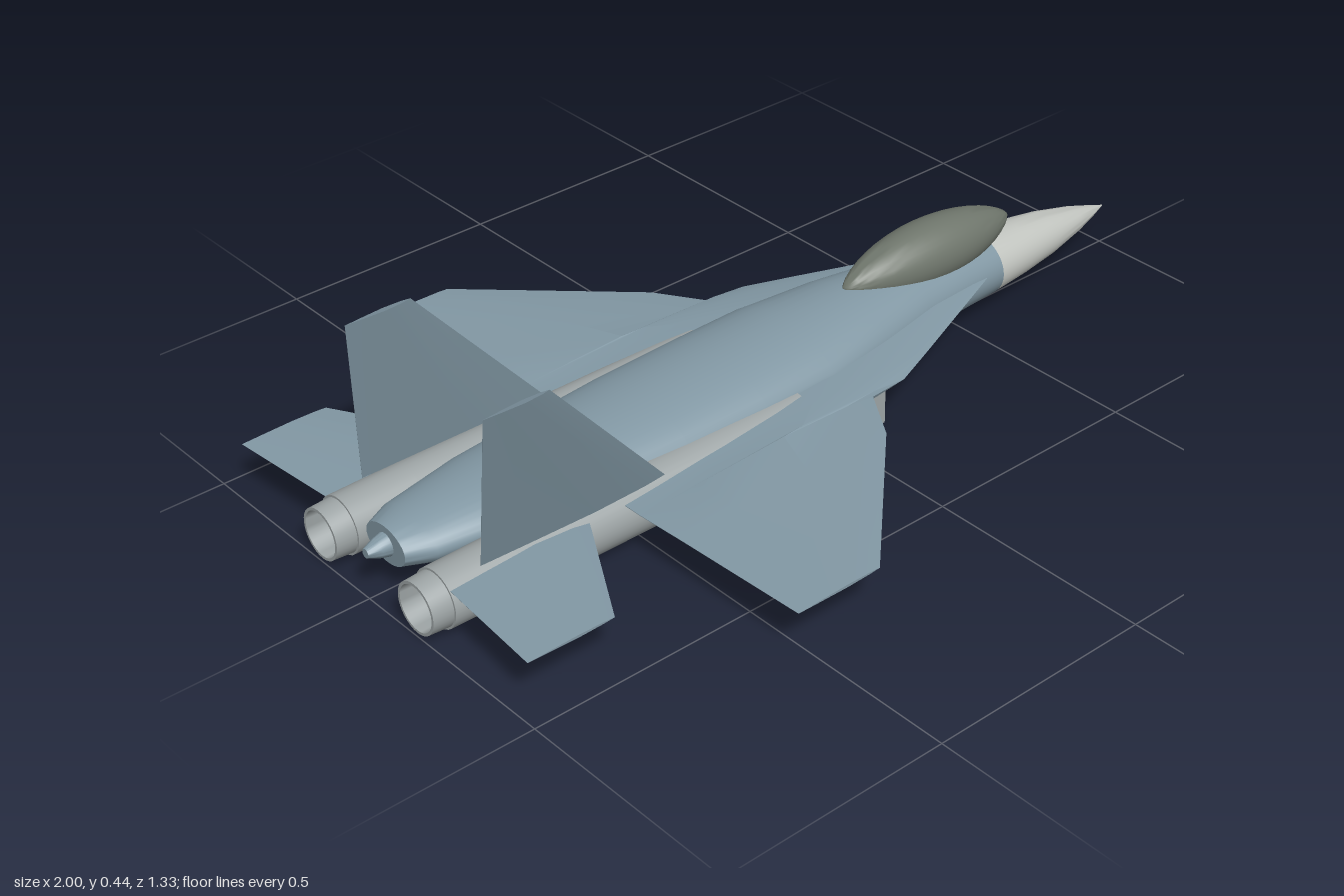
import * as THREE from 'three';
import { toCreasedNormals } from 'three/addons/utils/BufferGeometryUtils.js';

const mat = (color, side = THREE.FrontSide) => new THREE.MeshStandardMaterial({ color, side });
const skin = mat(0x8298a4);
const finSkin = mat(0x728691);
const metal = mat(0x9ea5a6, THREE.DoubleSide);
const radome = mat(0xc2c5c0);
const glass = mat(0x6f766c);
const dark = mat(0x2b2f31, THREE.DoubleSide);

// Closed loft through rings of [x, y, z] points, turned outward by its signed volume
function loft(rings, crease = 0.6) {
  const n = rings[0].length;
  const pts = rings.flat().map((p) => new THREE.Vector3(...p));
  const tris = [];
  for (let i = 0; i < rings.length - 1; i++) {
    for (let j = 0; j < n; j++) {
      const k = (j + 1) % n;
      const a = i * n + j, b = i * n + k, c = a + n, d = b + n;
      tris.push([a, b, d], [a, d, c]);
    }
  }
  const last = (rings.length - 1) * n;
  for (let j = 1; j < n - 1; j++) tris.push([0, j + 1, j], [last, last + j, last + j + 1]);
  let volume = 0;
  const cross = new THREE.Vector3();
  for (const [a, b, c] of tris) volume += pts[a].dot(cross.crossVectors(pts[b], pts[c]));
  if (volume < 0) tris.forEach((t) => t.reverse());
  const geo = new THREE.BufferGeometry().setFromPoints(pts);
  geo.setIndex(tris.flat());
  return toCreasedNormals(geo, crease);
}

// Elliptical cross-sections along x: [x, centre y, half height, half width]
const ovalBody = (stations, sides = 36) => loft(stations.map(([x, y, h, w]) =>
  Array.from({ length: sides }, (_, j) => {
    const a = (j / sides) * Math.PI * 2;
    return [x, y + h * Math.sin(a), w * Math.cos(a)];
  })));

// Thin aerofoil section: chord fraction from the leading edge, share of half thickness
const foil = [[0, 0], [0.12, 0.6], [0.4, 1], [0.75, 0.5], [1, 0.04],
  [1, -0.04], [0.75, -0.5], [0.4, -1], [0.12, -0.6]];

// Lifting surface from stations [span, leading x, trailing x, half thickness]
const surface = (stations, place) => loft(stations.map(([s, lead, trail, t]) =>
  foil.map(([f, k]) => place(lead + (trail - lead) * f, s, k * t))), 0.35);

export function createModel() {
  const model = new THREE.Group();
  model.name = 'jetAircraft';
  const add = (name, geometry, material, parent = model) => {
    const mesh = new THREE.Mesh(geometry, material);
    mesh.name = name;
    parent.add(mesh);
    return mesh;
  };

  // Fuselage, nose and tail
  add('fuselage', ovalBody([
    [-0.955, 0.11, 0.04, 0.062], [-0.9, 0.11, 0.047, 0.09], [-0.72, 0.112, 0.055, 0.126],
    [-0.55, 0.112, 0.062, 0.142], [-0.35, 0.113, 0.068, 0.158], [-0.15, 0.112, 0.076, 0.164],
    [0.03, 0.112, 0.082, 0.164], [0.2, 0.114, 0.084, 0.137], [0.36, 0.113, 0.081, 0.105],
    [0.5, 0.11, 0.076, 0.087], [0.6, 0.108, 0.07, 0.08],
  ]), skin);
  add('noseCone', ovalBody([
    [0.6, 0.108, 0.07, 0.08], [0.7, 0.106, 0.062, 0.069], [0.8, 0.104, 0.05, 0.054],
    [0.9, 0.102, 0.03, 0.032], [0.96, 0.1, 0.014, 0.014], [1, 0.1, 0.001, 0.001],
  ]), radome);
  add('tailSting', ovalBody([
    [-1, 0.11, 0.01, 0.01], [-0.975, 0.11, 0.02, 0.02], [-0.95, 0.11, 0.026, 0.026],
  ], 20), skin);

  // Canopy
  const bubble = [];
  for (let i = 0; i <= 20; i++) {
    const u = -Math.cos((i / 20) * Math.PI);
    const r = 0.001 + 0.07 * Math.pow(Math.max(0, 1 - u * u), 0.72);
    bubble.push([0.4425 + 0.2425 * u, 0.196, r, r]);
  }
  add('canopy', ovalBody(bubble), glass);

  for (const side of [1, -1]) {
    const name = side > 0 ? 'left' : 'right';

    // Wing with its long root extension
    add(name + 'Wing', surface([
      [0.05, 0.62, -0.55, 0.021], [0.085, 0.54, -0.55, 0.02], [0.2, 0.255, -0.55, 0.016],
      [0.245, 0.14, -0.549, 0.0145], [0.249, 0.05, -0.549, 0.0145],
      [0.36, -0.02, -0.543, 0.011], [0.665, -0.33, -0.53, 0.003],
    ], (x, s, t) => [x, 0.118 + 0.012 * x + t, side * s]), skin);

    // Horizontal tail
    add(name + 'Tailplane', surface([
      [0.12, -0.59, -0.945, 0.008], [0.22, -0.645, -0.955, 0.007], [0.455, -0.78, -0.975, 0.003],
    ], (x, s, t) => [x, 0.112 + t, side * s]), skin);

    // Vertical fin, canted outward
    add(name + 'Fin', surface([
      [0.125, -0.44, -0.876, 0.008], [0.45, -0.72, -0.868, 0.006],
    ], (x, s, t) => [x, s, side * (0.189 + (s - 0.14) * 0.075 + t)]), finSkin);

    // Engine nacelle with a hollow nozzle
    const engine = new THREE.Group();
    engine.name = name + 'Engine';
    engine.position.set(0, 0.071, side * 0.153);
    model.add(engine);
    const lathe = (profile) => new THREE.LatheGeometry(
      profile.map(([r, x]) => new THREE.Vector2(r, x)), 32).rotateZ(-Math.PI / 2);
    add('nacelle', toCreasedNormals(lathe([
      [0.05, -0.955], [0.062, -0.955], [0.064, -0.8], [0.064, -0.07], [0, -0.07],
    ]), 0.6), metal, engine);
    add('nozzle', toCreasedNormals(lathe([
      [0.047, -0.94], [0.049, -1], [0.055, -1], [0.058, -0.945],
    ]), 0.6), metal, engine);
    add('exhaust', new THREE.CircleGeometry(0.05, 32).rotateY(-Math.PI / 2), dark, engine)
      .position.x = -0.945;

    // Rectangular intake duct, open at the front
    const rect = (S, w, h) => new S().moveTo(-w, -h).lineTo(w, -h).lineTo(w, h).lineTo(-w, h).closePath();
    const duct = rect(THREE.Shape, 0.052, 0.053);
    duct.holes.push(rect(THREE.Path, 0.043, 0.042));
    const intake = new THREE.Group();
    intake.name = name + 'Intake';
    intake.position.set(-0.145, 0.062, side * 0.161);
    model.add(intake);
    add('duct', new THREE.ExtrudeGeometry(duct, { depth: 0.265, bevelEnabled: false })
      .rotateY(Math.PI / 2), metal, intake);
    add('ductFloor', new THREE.PlaneGeometry(0.088, 0.086).rotateY(Math.PI / 2), dark, intake)
      .position.x = 0.15;
  }
  return model;
}
